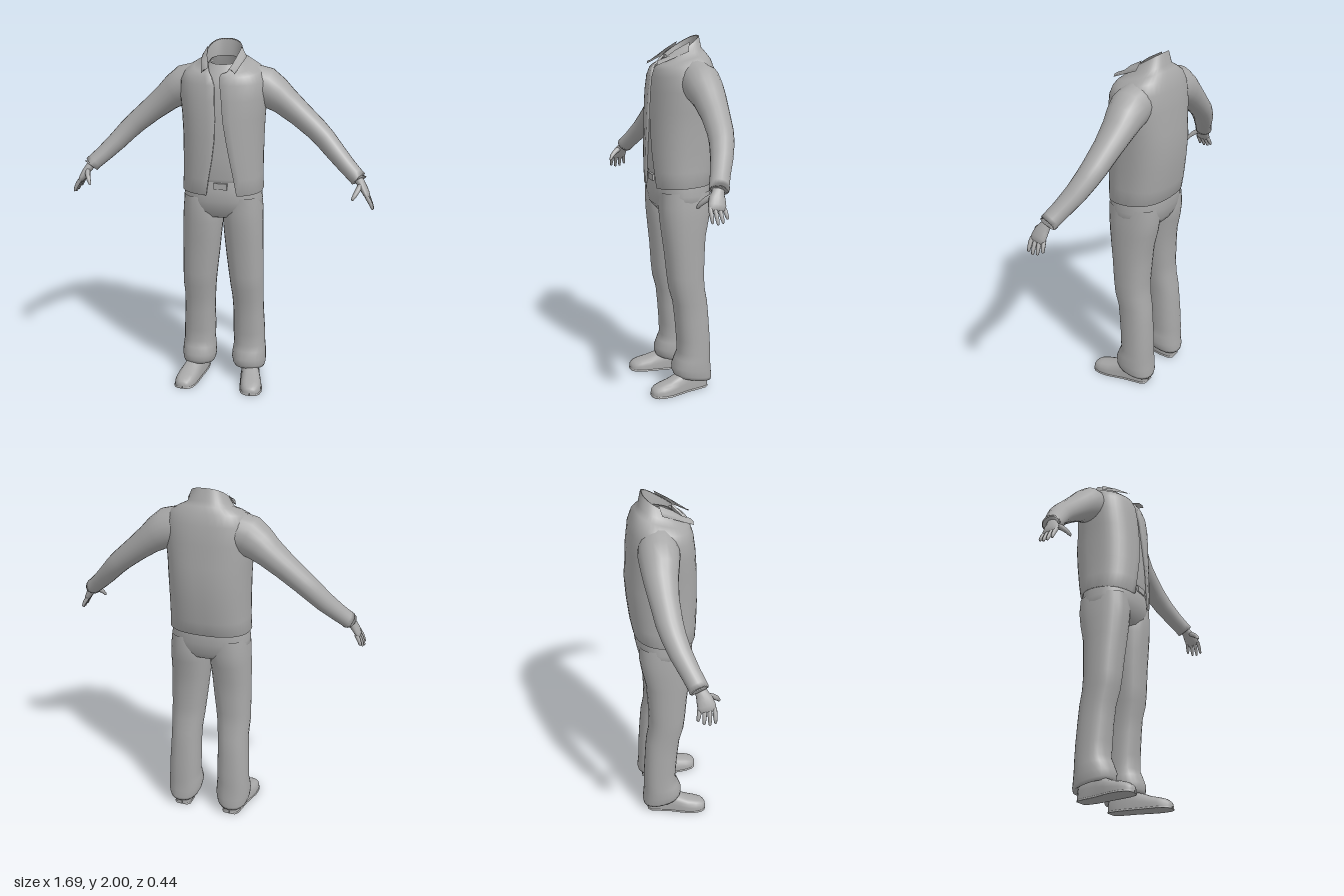
import * as THREE from 'three';

const grey = new THREE.MeshStandardMaterial({ color: 0xa8a8a8, side: THREE.DoubleSide });
grey.name = 'clay grey';

const V = (x, y, z) => new THREE.Vector3(x, y, z);
const pw = (s, p) => Math.sign(s) * Math.abs(s) ** p;

// Skin a list of equal-length rings into one smooth surface
function loft(name, rings, closed = true) {
  const n = rings[0].length, pos = [], idx = [];
  rings.forEach(r => r.forEach(v => pos.push(v.x, v.y, v.z)));
  for (let j = 0; j < rings.length - 1; j++) {
    for (let i = 0; i < (closed ? n : n - 1); i++) {
      const k = (i + 1) % n, a = j * n + i, b = a + n, c = j * n + k, d = c + n;
      idx.push(a, b, c, c, b, d);
    }
  }
  const g = new THREE.BufferGeometry();
  g.setAttribute('position', new THREE.Float32BufferAttribute(pos, 3));
  g.setIndex(idx);
  g.computeVertexNormals();
  const m = new THREE.Mesh(g, grey);
  m.name = name;
  return m;
}

// Rounded horizontal section; height blends from front (yf) to back (yb)
function section(yf, yb, x0, x1, zf, zb, p, a0 = 0, a1 = Math.PI * 2, n = 32, closed = true) {
  const ring = [];
  for (let i = 0; i < n; i++) {
    const a = a0 + (a1 - a0) * i / (closed ? n : n - 1);
    const s = pw(Math.sin(a), p), c = pw(Math.cos(a), p);
    ring.push(V((x0 + x1) / 2 + s * (x1 - x0) / 2,
      yb + (yf - yb) * (1 + c) / 2,
      (zf + zb) / 2 + c * (zf - zb) / 2));
  }
  return ring;
}

// Sweep along points [x, y, z, thickness radius, width radius]
function sweep(name, pts, n = 14) {
  const c = pts.map(p => V(p[0], p[1], p[2]));
  return loft(name, pts.map((p, j) => {
    const t = c[Math.min(j + 1, c.length - 1)].clone().sub(c[Math.max(j - 1, 0)]).normalize();
    const side = V(0, 0, 1).addScaledVector(t, -t.z).normalize();
    const up = t.clone().cross(side);
    return Array.from({ length: n }, (_, i) => {
      const a = i / n * Math.PI * 2;
      return c[j].clone().addScaledVector(up, Math.cos(a) * p[3]).addScaledVector(side, Math.sin(a) * p[4]);
    });
  }));
}

// Open jacket: [front y, back y, half width, front z, back z, left edge x, right edge x]
function jacket() {
  const P = 0.82, rows = [
    [1.80, 1.90, .085, .075, -.115, .07, -.075],
    [1.87, 1.993, .090, .072, -.115, .07, -.075],
    [1.875, 2.0, .097, .080, -.125, .07, -.075],
    [1.845, 1.935, .118, .110, -.138, .04, -.06],
    [1.838, 1.912, .160, .120, -.155, .012, -.052],
    [1.82, 1.88, .208, .130, -.175, .005, -.038],
    [1.78, 1.82, .235, .143, -.195, .01, -.022],
    [1.70, 1.72, .238, .155, -.207, .02, -.018],
    [1.60, 1.60, .228, .163, -.213, .028, -.015],
    [1.50, 1.52, .224, .167, -.220, .045, -.016],
    [1.38, 1.40, .222, .170, -.212, .068, -.030],
    [1.27, 1.28, .222, .168, -.198, .090, -.050],
    [1.18, 1.20, .227, .163, -.182, .105, -.063],
    [1.185, 1.205, .205, .142, -.165, .1, -.06],
  ];
  return loft('jacket', rows.map(([yf, yb, h, zf, zb, xl, xr]) => {
    const a0 = Math.asin(pw(xl / h, 1 / P)), a1 = Math.PI * 2 + Math.asin(pw(xr / h, 1 / P));
    const r = section(yf, yb, -h, h, zf, zb, P, a0, a1, 41, false);
    // thickness of the open front edges
    const inward = v => V(v.x, v.y, v.z - .016);
    return [inward(r[0]), ...r, inward(r[r.length - 1])];
  }), false);
}

function shirt() {
  const rows = [
    [1.88, 1.91, .075, .050, -.105], [1.82, 1.86, .11, .108, -.12], [1.75, 1.78, .17, .132, -.15],
    [1.60, 1.60, .20, .148, -.18], [1.40, 1.40, .20, .152, -.18], [1.27, 1.27, .20, .152, -.165],
    [1.24, 1.24, .195, .135, -.16],
  ];
  return loft('shirt', rows.map(([a, b, h, f, k]) => section(a, b, -h, h, f, k, .85)));
}

function hips() {
  const rows = [
    [1.26, .205, .140, -.165], [1.20, .215, .152, -.173], [1.14, .222, .152, -.172],
    [1.08, .222, .138, -.160], [1.04, .17, .105, -.135], [1.02, .08, .05, -.08], [1.015, .001, 0, -.01],
  ];
  return loft('trouserSeat', rows.map(([y, h, f, k]) => section(y, y, -h, h, f, k, .85)));
}

// Trouser leg: [front y, back y, inner x, outer x, front z, back z]
function trouserLeg() {
  const rows = [
    [1.16, 1.16, .02, .216, .135, -.155], [1.08, 1.08, .002, .225, .138, -.160],
    [1.00, 1.00, .003, .229, .132, -.148], [.90, .90, .012, .231, .120, -.125],
    [.80, .80, .022, .233, .108, -.118], [.68, .68, .036, .235, .098, -.112],
    [.60, .60, .045, .236, .088, -.115], [.52, .52, .053, .233, .066, -.130],
    [.42, .42, .058, .236, .055, -.138], [.30, .30, .056, .243, .045, -.145],
    [.225, .215, .060, .245, .043, -.148], [.19, .17, .054, .250, .058, -.148],
    [.145, .11, .050, .253, .076, -.152], [.11, .065, .058, .250, .074, -.157],
    [.09, .045, .068, .243, .066, -.153], [.10, .06, .085, .225, .045, -.13],
  ];
  return loft('trouserLeg', rows.map(([a, b, i, o, f, k]) => section(a, b, i, o, f, k, .88, 0, Math.PI * 2, 24)));
}

// Shoe layer: sections [z, centre x, half width, height] from heel to toe
function shoeLayer(name, rows, grow, height) {
  return loft(name, rows.map(([z, x, w, h]) => Array.from({ length: 20 }, (_, i) => {
    const a = i / 20 * Math.PI * 2, c = Math.cos(a);
    return V(x + (w + grow) * pw(Math.sin(a), .75), c > 0 ? (height || h) * pw(c, .7) : 0, z);
  })));
}

function shoe() {
  const g = new THREE.Group();
  g.name = 'shoe';
  const rows = [
    [-.13, .152, .002, .03], [-.129, .152, .03, .08], [-.11, .153, .047, .11], [-.05, .158, .054, .125],
    [.01, .168, .056, .118], [.06, .18, .060, .098], [.11, .19, .064, .078], [.16, .196, .062, .066],
    [.195, .199, .052, .055], [.213, .2, .037, .042], [.22, .2, .02, .03], [.222, .2, .002, .015],
  ];
  g.add(shoeLayer('shoeUpper', rows, 0), shoeLayer('shoeSole', rows, .004, .016));
  return g;
}

function hand() {
  const g = new THREE.Group();
  g.name = 'hand';
  g.add(sweep('palm', [
    [.74, 1.312, .058, .026, .032], [.765, 1.28, .074, .023, .032], [.782, 1.255, .085, .021, .042],
    [.798, 1.228, .092, .018, .046], [.808, 1.208, .096, .013, .044], [.812, 1.2, .097, .001, .03],
  ]));
  for (let i = 0; i < 4; i++) {
    const z = .131 - i * .024, len = [.9, 1, .94, .74][i], lean = i * -.004;
    const at = (t, r) => [.803 + (.058 * t - .018 * t * t) * len - i * .002, 1.218 - .078 * t * len, z + lean * t, r, r];
    g.add(sweep('finger', [at(0, .011), at(.35, .0115), at(.7, .0095), at(.93, .007), at(1, .0005)], 8));
  }
  g.add(sweep('thumb', [
    [.768, 1.272, .095, .014, .016], [.755, 1.25, .13, .014, .015], [.742, 1.228, .154, .012, .012],
    [.731, 1.208, .166, .008, .008], [.728, 1.201, .168, .0005, .0005],
  ], 8));
  return g;
}

function sleeve() {
  return sweep('sleeve', [
    [.13, 1.775, -.055, .105, .10], [.225, 1.75, -.06, .108, .108], [.28, 1.715, -.063, .094, .1],
    [.33, 1.677, -.065, .080, .09], [.42, 1.605, -.060, .068, .076], [.51, 1.53, -.048, .061, .069],
    [.56, 1.483, -.034, .058, .064], [.62, 1.42, -.008, .053, .058], [.69, 1.352, .03, .047, .051],
    [.735, 1.312, .054, .044, .05], [.753, 1.296, .062, .045, .051], [.76, 1.29, .065, .040, .046],
    [.75, 1.30, .06, .024, .028],
  ], 20);
}

// Pointed collar flap folded over the front of the jacket
function collarFlap() {
  return loft('collarFlap', [
    [V(.094, 1.965, -.045), V(.082, 1.925, .03), V(.065, 1.885, .083)],
    [V(.112, 1.935, -.035), V(.108, 1.9, .055), V(.058, 1.868, .125)],
    [V(.124, 1.915, -.03), V(.09, 1.845, .137), V(.078, 1.86, .136)],
  ], false);
}

export function createModel() {
  const model = new THREE.Group();
  model.name = 'clothedFigure';
  model.add(jacket(), shirt(), hips());

  // Belt buckle
  const buckle = new THREE.Mesh(new THREE.BoxGeometry(.075, .035, .014), grey);
  buckle.name = 'beltBuckle';
  buckle.position.set(.015, 1.232, .15);
  model.add(buckle);

  // Limbs on both sides
  for (const s of [1, -1]) {
    const half = new THREE.Group();
    half.name = s > 0 ? 'leftSide' : 'rightSide';
    half.add(sleeve(), hand(), trouserLeg(), shoe(), collarFlap());
    half.scale.x = s;
    model.add(half);
  }
  return model;
}
